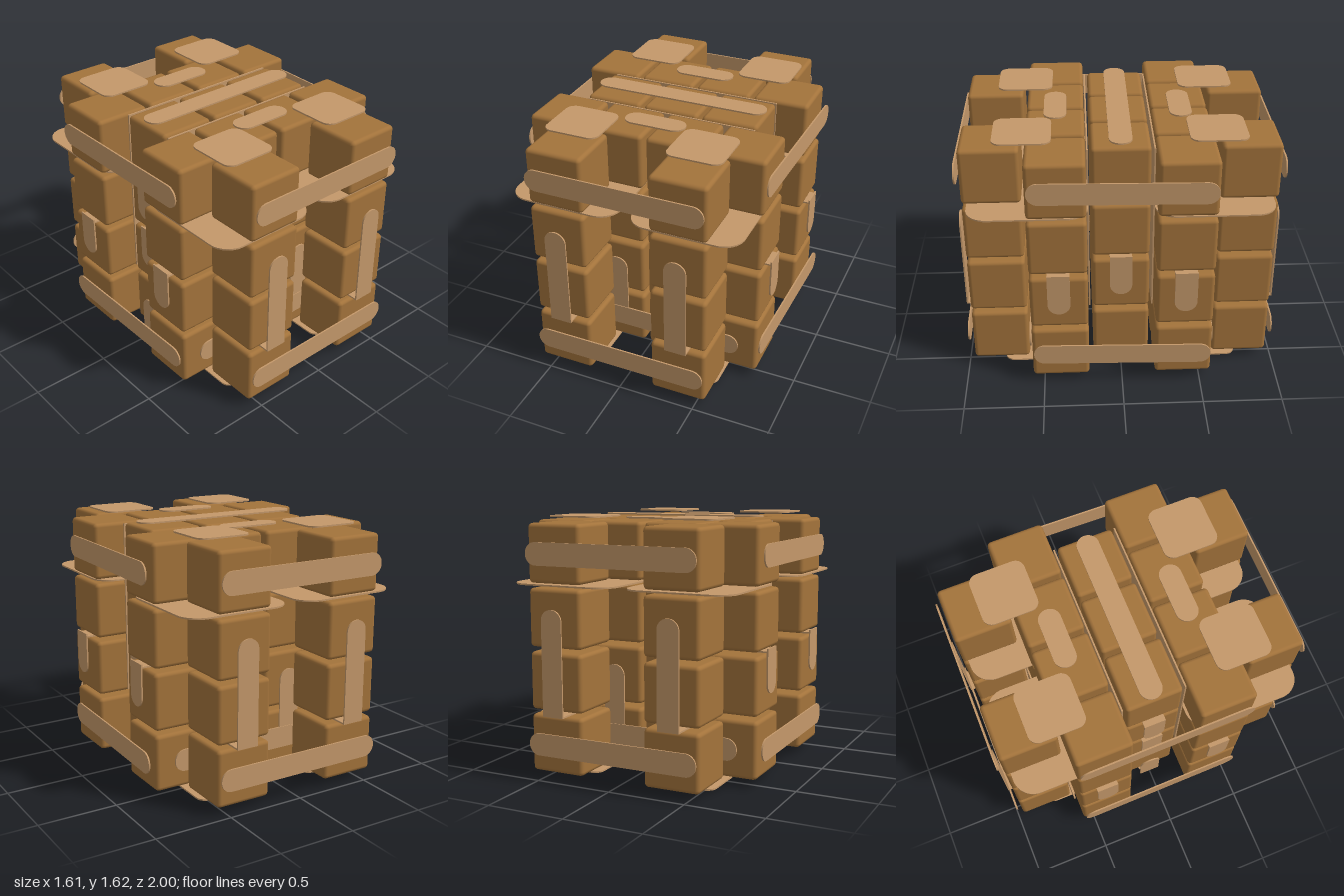
import * as THREE from 'three';
import { RoundedBoxGeometry } from 'three/addons/geometries/RoundedBoxGeometry.js';

const T = 0.01; // plate thickness

export function createModel() {
  const group = new THREE.Group();
  const blockMat = new THREE.MeshStandardMaterial({ color: 0xa3733b });
  blockMat.name = 'darkWood';
  const plateMat = new THREE.MeshStandardMaterial({ color: 0xc4986a });
  plateMat.name = 'lightWood';

  // Rectangle with separate top and bottom corner radii, facing x, y or z
  function plate(name, facing, w, h, rTop, rBottom, x, y, z) {
    const a = w / 2, b = h / 2, s = new THREE.Shape();
    const corner = (cx, cy, r, start) => {
      if (r > 0) s.absarc(cx, cy, r, start, start + Math.PI / 2, false);
      else s.lineTo(cx, cy);
    };
    s.moveTo(-a + rBottom, -b);
    corner(a - rBottom, -b + rBottom, rBottom, -Math.PI / 2);
    corner(a - rTop, b - rTop, rTop, 0);
    corner(-a + rTop, b - rTop, rTop, Math.PI / 2);
    corner(-a + rBottom, -b + rBottom, rBottom, Math.PI);
    const g = new THREE.ExtrudeGeometry(s, { depth: T, bevelEnabled: false, curveSegments: 6 });
    g.translate(0, 0, -T / 2);
    if (facing === 'x') g.rotateY(Math.PI / 2);
    if (facing === 'y') g.rotateX(-Math.PI / 2);
    const m = new THREE.Mesh(g, plateMat);
    m.name = name;
    m.position.set(x, y, z);
    group.add(m);
    return m;
  }
  const W = 0.14, R = 0.069; // strap width and end radius

  // Blocks: four layers, each with rows of 2, 4, 3, 4 and 2
  const rows = [
    [-0.78, [-0.395, 0.385]],
    [-0.39, [-0.59, -0.2, 0.19, 0.58]],
    [0, [-0.395, -0.005, 0.385]],
    [0.39, [-0.59, -0.2, 0.19, 0.58]],
    [0.78, [-0.395, 0.385]],
  ];
  const blockGeo = new RoundedBoxGeometry(0.36, 0.36, 0.36, 2, 0.025);
  for (const y of [0.23, 0.62, 1.01, 1.4]) {
    for (const [z, xs] of rows) {
      for (const x of xs) {
        const m = new THREE.Mesh(blockGeo, blockMat);
        m.name = 'block';
        m.position.set(x, y, z);
        group.add(m);
      }
    }
  }

  // Square plates on top and underneath, and wide plates below the top layer
  for (const x of [-0.395, 0.385]) {
    for (const s of [-1, 1]) {
      plate('topSquare', 'y', 0.35, 0.35, 0.06, 0.06, x, 1.612, s * 0.585);
      plate('bottomSquare', 'y', 0.35, 0.35, 0.06, 0.06, x, 0.018, s * 0.585);
      plate('cornerShelf', 'y', 0.7, 0.73, 0.13, 0.13, x, 1.205, s * 0.565);
    }
  }

  // Straps along the top and underside
  plate('topLongStrap', 'y', 1.13, W, R, R, -0.005, 1.604, 0);
  for (const z of [-0.39, 0.39]) plate('topShortStrap', 'y', 0.39, W, R, R, -0.005, 1.6, z);
  plate('bottomStrap', 'y', 0.66, W, 0.06, 0.06, -0.28, 0.006, 0);

  // Front and back straps
  for (const s of [-1, 1]) {
    for (const y of [0.23, 1.4]) plate('horizontalStrap', 'z', 1.13, W, R, R, -0.005, y, s * 0.99);
    plate('innerHorizontalStrap', 'z', 1.29, W, R, R, -0.005, 0.23, s * 0.588);
    for (const x of [-0.395, 0.385]) {
      plate('uprightStrap', 'z', W, 0.66, R, 0, x, 0.74, s * 0.993);
      plate('uprightStrapFoot', 'y', W, 0.27, 0, 0, x, 0.415, s * 0.857);
    }
    for (const x of [-0.2, 0.19]) plate('innerUprightStrap', 'z', W, 0.42, R, 0, x, 0.475, s * 0.583);
    // Thin sheets between the rows
    plate('rowDivider', 'z', 1.12, 1.12, 0, 0, 0, 1.01, s * 0.2);
  }

  // Side straps and hooked tabs
  for (const s of [-1, 1]) {
    for (const y of [0.23, 1.4]) {
      const strap = plate('sideStrap', 'x', 1.12, W, R, R, s > 0 ? 0.787 : -0.797, y, 0);
      strap.rotation.y = s > 0 ? -0.025 : 0.008;
    }
    for (const z of [-0.39, 0, 0.39]) {
      const x = s * (z === 0 ? 0.595 : 0.79);
      plate('sideTab', 'x', W, 0.28, 0, R, x, 0.7, z);
      plate('sideTabArm', 'y', 0.4, W, 0, 0, x - s * 0.197, 0.835 - 0.015, z);
    }
  }

  // Extra hooks on one side, at the underside and below the top layer
  plate('lowerHook', 'x', W, 0.28, R, 0, -0.605, 0.14, 0);
  plate('upperHook', 'x', W, 0.28, 0, R, -0.605, 1.07, 0);
  plate('upperHookArm', 'y', 0.4, W, 0, 0, -0.41, 1.207, 0);

  return group;
}
